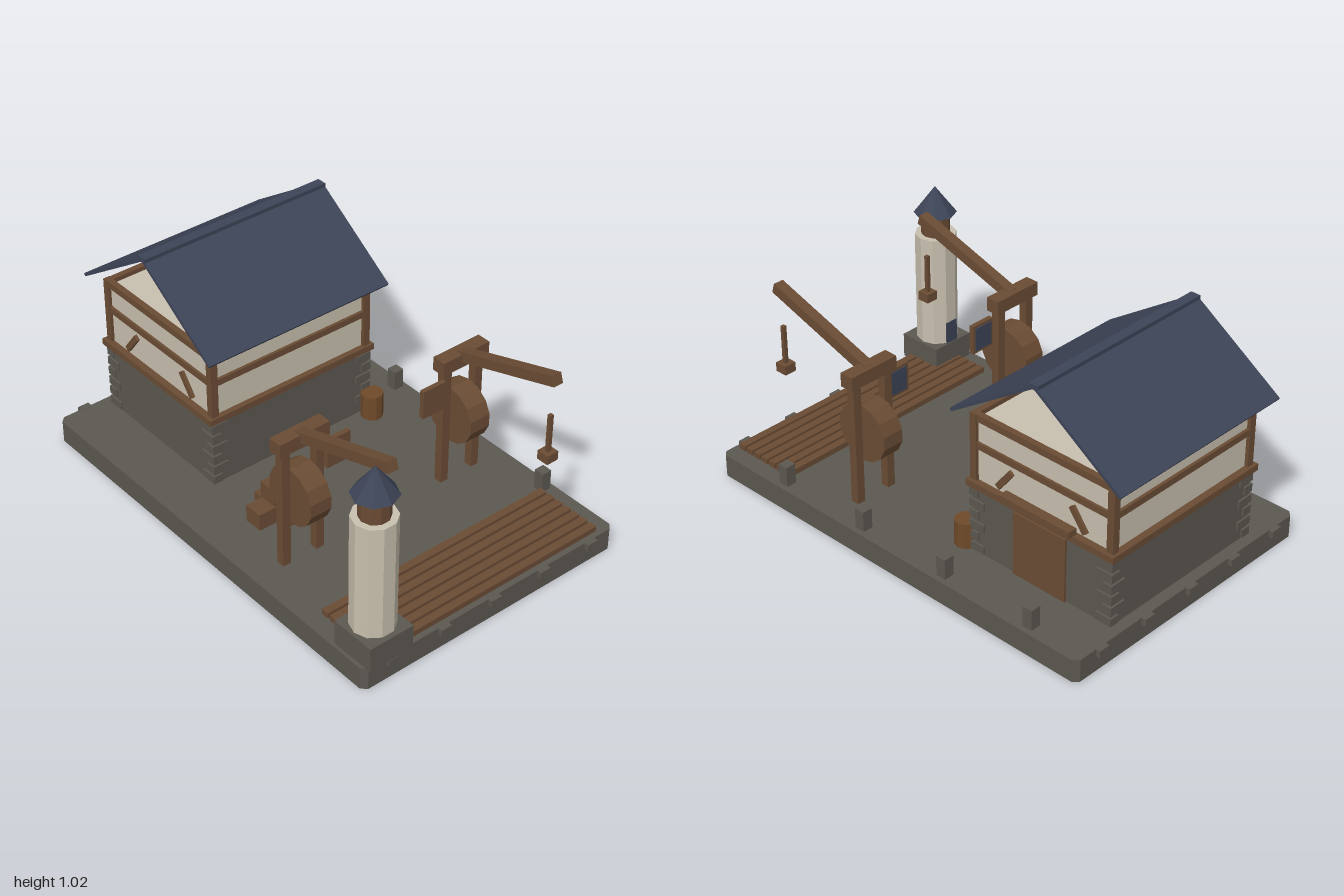
import * as THREE from 'three';

const mat = (name, color) => Object.assign(new THREE.MeshStandardMaterial({ color, flatShading: true }), { name });

export function createModel() {
  const stone = mat('stone', 0x5c5851);
  const wood = mat('wood', 0x6a4c34);
  const plaster = mat('plaster', 0xc8bfae);
  const slate = mat('slate', 0x3d4457);
  const barrelWood = mat('barrelWood', 0x704a2a);

  const model = new THREE.Group();
  model.name = 'harbourYard';
  const group = (name, parent = model) => {
    const g = new THREE.Group();
    g.name = name;
    parent.add(g);
    return g;
  };
  const add = (parent, name, geometry, material) => {
    const m = new THREE.Mesh(geometry, material);
    m.name = name;
    parent.add(m);
    return m;
  };
  // Box given by its minimum and maximum on each axis
  const box = (parent, name, material, x0, x1, y0, y1, z0, z1) => {
    const m = add(parent, name, new THREE.BoxGeometry(x1 - x0, y1 - y0, z1 - z0), material);
    m.position.set((x0 + x1) / 2, (y0 + y1) / 2, (z0 + z1) / 2);
    return m;
  };
  const drum = (parent, name, material, rTop, rBottom, y0, y1, sides, x, z) => {
    const m = add(parent, name, new THREE.CylinderGeometry(rTop, rBottom, y1 - y0, sides), material);
    m.position.set(x, (y0 + y1) / 2, z);
    return m;
  };

  // Platform with clipped corners
  const X = 0.98, Z = 0.64, c = 0.022;
  const outline = new THREE.Shape([
    [-X + c, -Z], [X - c, -Z], [X, -Z + c], [X, Z - c],
    [X - c, Z], [-X + c, Z], [-X, Z - c], [-X, -Z + c],
  ].map(([x, y]) => new THREE.Vector2(x, y)));
  const slab = new THREE.ExtrudeGeometry(outline, { depth: 0.1, bevelEnabled: false });
  add(model, 'platform', slab.rotateX(-Math.PI / 2), stone);

  // Edge stones on both ends
  for (const s of [-1, 1])
    for (let i = -2; i <= 2; i++) {
      const z = i * 0.254;
      box(model, 'edgeStone', stone, s * 0.985 - 0.015, s * 0.985 + 0.015, 0.07, 0.101, z - 0.026, z + 0.026);
    }

  // Bollards along the back
  for (let i = 0; i < 4; i++) {
    const x = -0.715 + i * 0.447;
    box(model, 'bollard', stone, x - 0.023, x + 0.023, 0.1, 0.19, -0.617, -0.571);
  }

  // Slatted decking
  for (let i = 0; i < 7; i++) {
    const x = 0.662 + i * 0.046;
    box(model, 'deckSlat', wood, x - 0.017, x + 0.017, 0.1, 0.125, -0.567, 0.56);
  }

  // House: stone storey with corner stones
  const house = group('house');
  const L = -0.93, R = -0.225, mid = (L + R) / 2;
  box(house, 'stoneStorey', stone, L, R, 0.1, 0.405, -0.4, 0.4);
  for (const sx of [-1, 1])
    for (const sz of [-1, 1])
      for (let i = 0; i < 6; i++) {
        const long = i % 2 ? 0.045 : 0.075, deep = i % 2 ? 0.075 : 0.045;
        const ox = sx < 0 ? L - 0.008 : R + 0.008;
        const oz = sz * 0.408, ix = ox - sx * long, iz = oz - sz * deep;
        const y = 0.105 + i * 0.05;
        box(house, 'cornerStone', stone, Math.min(ox, ix), Math.max(ox, ix), y, y + 0.036, Math.min(oz, iz), Math.max(oz, iz));
      }

  // Plastered storey with timber frame
  box(house, 'plasterStorey', plaster, L + 0.01, R - 0.01, 0.42, 0.705, -0.39, 0.39);
  box(house, 'sill', wood, L - 0.02, R + 0.015, 0.402, 0.43, -0.42, 0.42);
  for (const x of [L + 0.01, R - 0.01])
    for (const z of [-0.388, 0.388])
      box(house, 'cornerPost', wood, x - 0.016, x + 0.016, 0.43, 0.725, z - 0.016, z + 0.016);
  for (const [y0, y1] of [[0.573, 0.602], [0.695, 0.725]]) {
    for (const z of [-0.388, 0.388]) box(house, 'crossBeam', wood, L, R, y0, y1, z - 0.013, z + 0.013);
    for (const x of [L + 0.01, R - 0.01]) box(house, 'sideBeam', wood, x - 0.013, x + 0.013, y0, y1, -0.39, 0.39);
  }
  for (const z of [-0.393, 0.393])
    for (const s of [-1, 1]) {
      const brace = add(house, 'brace', new THREE.BoxGeometry(0.026, 0.115, 0.02), wood);
      brace.position.set(mid + s * 0.185, 0.496, z);
      brace.rotation.z = s * 0.65;
    }

  // Back door with a beam over it
  box(house, 'door', wood, -0.71, -0.445, 0.1, 0.385, -0.41, -0.4);
  box(house, 'doorBeam', wood, -0.755, -0.405, 0.43, 0.458, -0.442, -0.4);

  // Open-gabled roof
  const run = 0.418, rise = 0.28, slope = Math.atan2(rise, run);
  for (const s of [-1, 1]) {
    const leaf = add(house, 'roofSlope', new THREE.BoxGeometry(Math.hypot(run, rise), 0.014, 0.9), slate);
    leaf.position.set(-0.582 + s * run / 2, 0.87, 0);
    leaf.rotation.z = -s * slope;
  }
  box(house, 'ridgeCap', slate, -0.604, -0.56, 0.998, 1.02, -0.45, 0.45);

  // Two treadwheel cranes, mirrored front to back
  for (const s of [-1, 1]) {
    const crane = group('crane');
    const zbox = (name, m, x0, x1, y0, y1, a, b) =>
      box(crane, name, m, x0, x1, y0, y1, Math.min(s * a, s * b), Math.max(s * a, s * b));
    zbox('innerPost', wood, 0.308, 0.345, 0.1, 0.65, 0.302, 0.34);
    zbox('outerPost', wood, 0.308, 0.345, 0.1, 0.65, 0.466, 0.504);
    zbox('headBeam', wood, 0.296, 0.358, 0.64, 0.7, 0.285, 0.522);
    const wheel = add(crane, 'treadwheel', new THREE.CylinderGeometry(0.128, 0.128, 0.098, 14), wood);
    wheel.rotation.x = Math.PI / 2;
    wheel.position.set(0.326, 0.407, s * 0.403);
    const arm = add(crane, 'arm', new THREE.BoxGeometry(0.54, 0.045, 0.046), wood);
    arm.position.set(0.588, 0.762, s * 0.403);
    arm.rotation.z = 0.31;
    zbox('rope', wood, 0.815, 0.832, 0.5, 0.67, 0.395, 0.412);
    zbox('hangingLoad', wood, 0.796, 0.851, 0.46, 0.5, 0.375, 0.431);
    // Hanging board with a slate face
    zbox('board', wood, 0.337, 0.358, 0.482, 0.61, 0.184, 0.297);
    zbox('boardFace', slate, 0.333, 0.338, 0.494, 0.598, 0.196, 0.285);
  }

  // Corner tower
  const tower = group('tower');
  box(tower, 'towerBase', stone, 0.795, 0.998, 0.1, 0.21, 0.42, 0.625);
  drum(tower, 'towerShaft', plaster, 0.09, 0.09, 0.21, 0.715, 10, 0.89, 0.522);
  drum(tower, 'towerCollar', wood, 0.062, 0.062, 0.715, 0.815, 10, 0.89, 0.522);
  drum(tower, 'towerRoof', slate, 0, 0.092, 0.812, 0.932, 8, 0.89, 0.522);
  box(tower, 'towerDoor', slate, 0.8, 0.808, 0.21, 0.31, 0.492, 0.552);

  // Crates and barrel
  const crates = [[-0.012, 0.1, 0.28], [0.09, 0.1, 0.25], [0.035, 0.1, 0.357], [0.03, 0.178, 0.28]];
  for (const [x, y, z] of crates) box(model, 'crate', wood, x, x + 0.085, y, y + 0.076, z, z + 0.085);
  drum(model, 'barrel', barrelWood, 0.048, 0.048, 0.1, 0.214, 10, -0.18, -0.388);

  return model;
}
